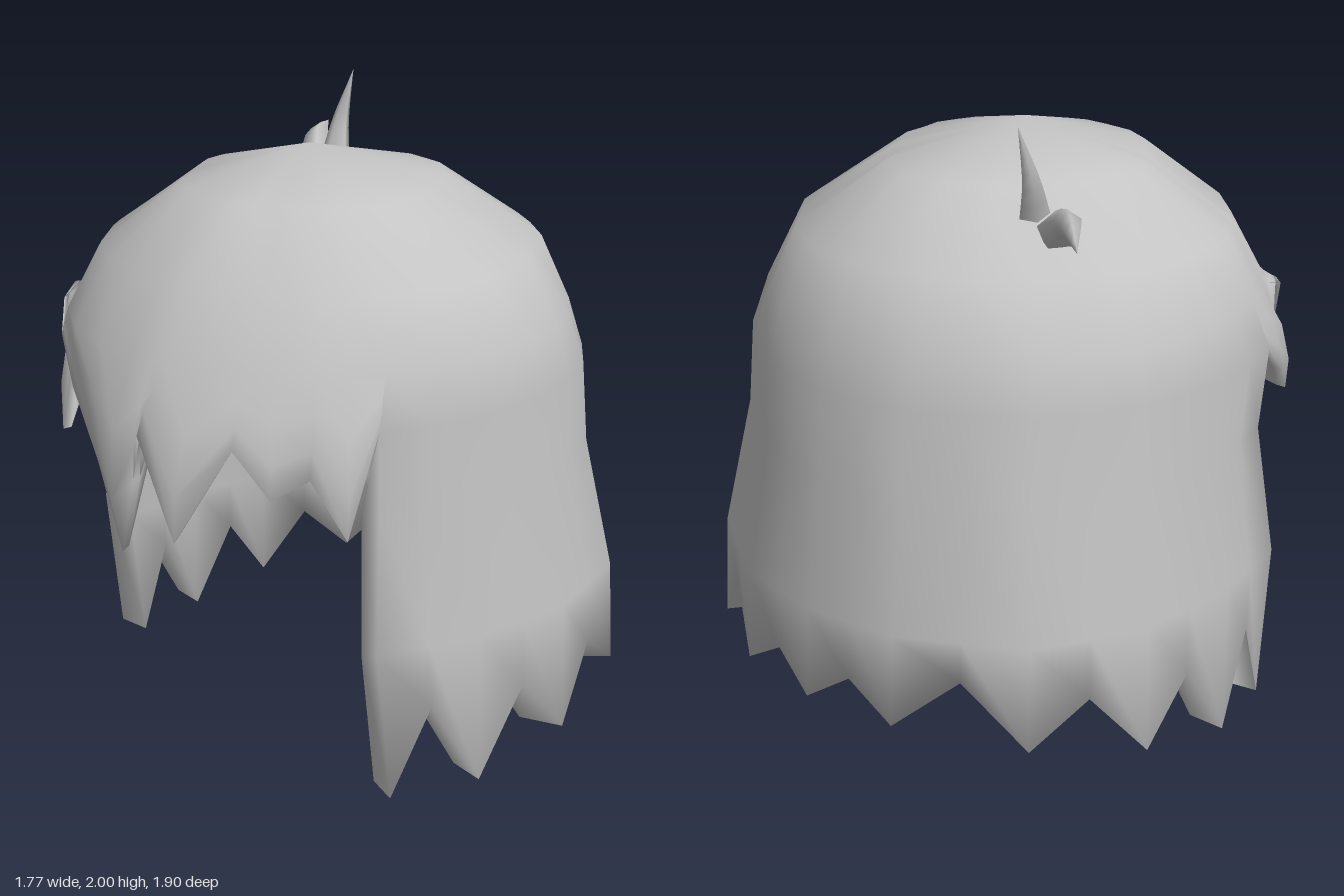
import * as THREE from 'three';
import { mergeVertices } from 'three/addons/utils/BufferGeometryUtils.js';

// Body of the hair by height: y, half width, back depth, front depth, roundness of the outline
const PROFILE = [
  [1.77, 0.42, 0.41, 0.46, 3], [1.57, 0.71, 0.71, 0.71, 1.7], [1.36, 0.795, 0.80, 0.835, 1.1],
  [1.2, 0.835, 0.85, 0.97, 0.9], [0.93, 0.82, 0.87, 0.93, 0.6], [0.5, 0.88, 0.935, 1.05, 0.1],
  [0.2, 0.885, 0.95, 0.97, 0], [0, 0.885, 0.95, 0.9, 0],
];
const APEX = [-0.01, 1.88, 0.05];
const DOME = [1.77, 1.57, 1.36];

// Point at height y on the unit outline (ux, uz), moved inward for the lining
function bodyPoint([ux, uz], y, lining = false) {
  let i = 0;
  while (i < PROFILE.length - 2 && y < PROFILE[i + 1][0]) i++;
  const p = PROFILE[i], q = PROFILE[i + 1], t = (p[0] - y) / (p[0] - q[0]);
  const at = (k, inset = 0) => p[k] + (q[k] - p[k]) * t - (lining ? inset : 0);
  const round = 1 + (1 / Math.hypot(ux, uz) - 1) * at(4);
  return [ux * round * at(1, 0.13), y, uz * round * (uz < 0 ? at(2, 0.21) : at(3, 0.07))];
}

// Surface through columns of points that run from the crown, round the hem and up inside
function loft(columns, capEnds) {
  const rows = columns[0].length, index = [];
  const quad = (a, b, c, d) => index.push(a, b, c, a, c, d);
  for (let c = 0; c < columns.length - 1; c++) {
    const m = c * rows, n = m + rows;
    index.push(m, m + 1, n + 1);
    for (let r = 1; r < rows - 1; r++) quad(m + r, m + r + 1, n + r + 1, n + r);
  }
  if (capEnds) {
    const e = (columns.length - 1) * rows;
    quad(10, 9, 6, 5);
    quad(9, 8, 7, 6);
    index.push(4, 10, 5);
    quad(e + 5, e + 6, e + 9, e + 10);
    quad(e + 6, e + 7, e + 8, e + 9);
    index.push(e + 4, e + 5, e + 10);
  }
  return { points: columns.flat(), index };
}

// Long sides and back: unit outline, tip height, height of the notch that follows
const BACK = [
  [0, -1, 0.2, 0.31], [0.37, -0.95, 0.2, 0.37], [0.79, -0.72, 0.16, 0.3],
  [0.98, -0.34, 0.08, 0.28], [1, 0.04, 0.01, 0.29], [0.91, 0.36, 0],
];

function curtain() {
  const half = [];
  BACK.forEach(([x, z, tip, notch], i) => {
    half.push([x, z, tip]);
    const next = BACK[i + 1];
    if (next) half.push([(x + next[0]) / 2, (z + next[1]) / 2, notch]);
  });
  const all = [...half.slice(1).reverse(), ...half.map(([x, z, y]) => [-x, z, y])];
  return loft(all.map(([x, z, hem]) => {
    const u = [x, z];
    return [
      APEX,
      ...[...DOME, 1.2, 0.93, 0.5, hem].map((y) => bodyPoint(u, y)),
      ...[hem, 0.45, 0.89].map((y) => bodyPoint(u, y, true)),
    ];
  }), true);
}

// Swept fringe, from the right temple to the left: unit outline, then hem x, y, z
const TEMPLE = bodyPoint([0.91, 0.36], 1.2);
const FRINGE = [
  [-0.91, 0.36, -TEMPLE[0], TEMPLE[1], TEMPLE[2]], [-0.885, 0.45, -0.76, 1.1, 0.45],
  [-0.86, 0.53, -0.67, 0.97, 0.6], [-0.82, 0.6, -0.45, 0.93, 0.73],
  [-0.81, 0.61, -0.675, 1.35, 0.54], [-0.74, 0.7, -0.59, 1.33, 0.63], [-0.5, 0.86, -0.36, 1.29, 0.77],
  [-0.25, 0.96, -0.12, 1.2, 0.87], [0, 1, 0.13, 1.04, 0.93],
  [0.2, 0.97, 0.26, 0.79, 0.93], [0.3, 0.95, 0.335, 1.04, 0.93],
  [0.36, 0.93, 0.28, 1.18, 0.89], [0.5, 0.87, 0.44, 0.86, 0.86],
  [0.64, 0.78, 0.56, 1.16, 0.73], [0.72, 0.68, 0.64, 1.01, 0.65],
  [0.8, 0.58, 0.7, 1.07, 0.55], [0.85, 0.48, 0.75, 0.87, 0.45],
  [0.91, 0.36, ...TEMPLE],
];

function fringe() {
  return loft(FRINGE.map(([ux, uz, ...hem]) => {
    const u = [ux, uz], root = bodyPoint(u, 1.36), drop = 1.36 - hem[1];
    // Point a fraction f down the lock, bulged outward and moved inward by inset
    const at = (f, inset = 0) => {
      const out = 0.18 * Math.max(drop - 0.16, 0) * Math.sin(Math.PI * f) - inset;
      const p = root.map((v, k) => v + (hem[k] - v) * f);
      return [p[0] + ux * out, p[1], p[2] + uz * out];
    };
    return [
      APEX, ...DOME.map((y) => bodyPoint(u, y)),
      at(0.35), at(0.7), at(1), at(0.98, 0.03), at(0.6, 0.1), at(0, 0.12),
    ];
  }), false);
}

// Joins the lofted sheets and smooths across their shared edges
function joinSheets(sheets) {
  const positions = [], index = [];
  for (const { points, index: faces } of sheets) {
    const start = positions.length / 3;
    positions.push(...points.flat());
    index.push(...faces.map((i) => i + start));
  }
  const geo = new THREE.BufferGeometry();
  geo.setAttribute('position', new THREE.Float32BufferAttribute(positions, 3));
  geo.setIndex(index);
  const merged = mergeVertices(geo, 1e-4);
  merged.computeVertexNormals();
  return merged;
}

// Curved spike that tapers to a point
function spike(path, radius) {
  const curve = new THREE.CatmullRomCurve3(path.map((p) => new THREE.Vector3(...p)));
  const segments = 6, sides = 5;
  const geo = new THREE.TubeGeometry(curve, segments, radius, sides);
  const pos = geo.attributes.position, v = new THREE.Vector3();
  for (let i = 0; i < pos.count; i++) {
    const t = Math.floor(i / (sides + 1)) / segments, centre = curve.getPointAt(t);
    v.fromBufferAttribute(pos, i).sub(centre).multiplyScalar(Math.max(1 - t, 0.01)).add(centre);
    pos.setXYZ(i, v.x, v.y, v.z);
  }
  return geo;
}

export function createModel() {
  const group = new THREE.Group();
  group.name = 'hair';
  const hairGrey = new THREE.MeshStandardMaterial({ color: 0xc4c4c4, side: THREE.DoubleSide });
  hairGrey.name = 'hair grey';
  const add = (name, geometry) => {
    const mesh = new THREE.Mesh(geometry, hairGrey);
    mesh.name = name;
    group.add(mesh);
  };

  add('hairBody', joinSheets([curtain(), fringe()]));
  // Two loose strands near the crown
  add('uprightStrand', spike([[-0.39, 1.72, -0.33], [-0.41, 1.83, -0.365], [-0.4, 2, -0.41]], 0.05));
  add('sidewaysStrand', spike([[-0.46, 1.67, -0.3], [-0.57, 1.735, -0.38], [-0.78, 1.74, -0.58]], 0.065));
  return group;
}
